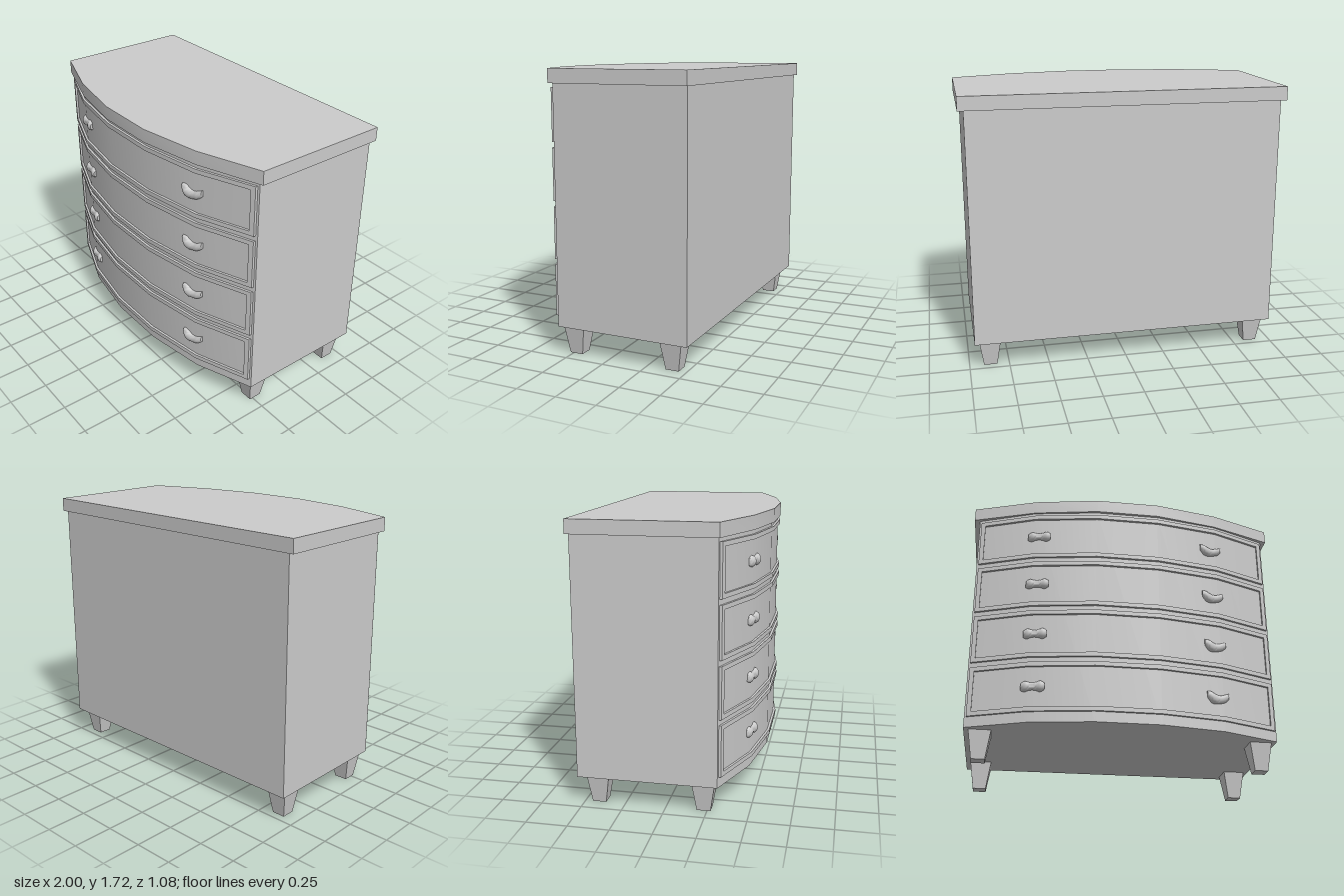
import * as THREE from 'three';
import { toCreasedNormals } from 'three/addons/utils/BufferGeometryUtils.js';

const material = new THREE.MeshStandardMaterial({ color: 0xcccccc });

// Bowed front of the body, as [x, z] from right to left
const bow = [[-0.965, 0.32], [-0.6, 0.46], [-0.2, 0.525], [0.2, 0.525], [0.6, 0.46], [0.965, 0.32]];

function bowZ(x) {
  for (let i = 1; i < bow.length; i++) {
    const [xa, za] = bow[i - 1], [xb, zb] = bow[i];
    if (x <= xb || i === bow.length - 1) return za + (zb - za) * (x - xa) / (xb - xa);
  }
}

// Raises an [x, z] outline from y0 to y1; shallow front bends stay smooth
function slab(outline, y0, y1) {
  const shape = new THREE.Shape(outline.map(([x, z]) => new THREE.Vector2(x, -z)));
  const geometry = new THREE.ExtrudeGeometry(shape, { depth: y1 - y0, bevelEnabled: false });
  geometry.rotateX(-Math.PI / 2).translate(0, y0, 0);
  return toCreasedNormals(geometry, 0.5);
}

// Moulding strip that follows the bowed front between x0 and x1
function strip(x0, x1, y0, y1) {
  const xs = [x0, ...bow.map(p => p[0]).filter(x => x > x0 && x < x1), x1];
  const front = xs.map(x => [x, bowZ(x) + 0.015]);
  const back = xs.map(x => [x, bowZ(x) - 0.01]).reverse();
  return slab([...front, ...back], y0, y1);
}

// Bone-shaped pull lying on the front, optionally sagging in the middle
function handleGeometry(cx, sag, radii) {
  const half = 0.071;
  const curve = new THREE.SplineCurve(radii.map((r, i) =>
    new THREE.Vector2(r, -half + 2 * half * i / (radii.length - 1))));
  const profile = [new THREE.Vector2(0, -half), ...curve.getPoints(16), new THREE.Vector2(0, half)];
  const geometry = new THREE.LatheGeometry(profile, 16).rotateZ(-Math.PI / 2);
  const p = geometry.attributes.position;
  for (let i = 0; i < p.count; i++) {
    const x = p.getX(i), t = x / half;
    p.setXYZ(i, x + cx, p.getY(i) - sag * (1 - t * t), p.getZ(i) * 0.75 + bowZ(x + cx));
  }
  return toCreasedNormals(geometry, 0.9);
}

export function createModel() {
  const model = new THREE.Group();
  model.name = 'chestOfDrawers';
  const add = (parent, name, geometry) => {
    const mesh = new THREE.Mesh(geometry, material);
    mesh.name = name;
    parent.add(mesh);
    return mesh;
  };

  // Carcass and overhanging top
  add(model, 'body', slab([...bow, [0.965, -0.53], [-0.965, -0.53]], 0.175, 1.635));
  add(model, 'top', slab([[-1, 0.33], [-0.6, 0.47], [-0.2, 0.542], [0.2, 0.542], [0.6, 0.47],
    [1, 0.33], [1, -0.542], [-1, -0.542]], 1.635, 1.72));

  // Four drawers, each with a raised frame and two pulls
  const w = 0.953, rim = 0.028, height = 0.317;
  for (let i = 0; i < 4; i++) {
    const drawer = new THREE.Group();
    drawer.name = 'drawer' + (i + 1);
    const y0 = 0.24 + i * 0.351, y1 = y0 + height;
    add(drawer, 'frameBottom', strip(-w, w, y0, y0 + rim));
    add(drawer, 'frameTop', strip(-w, w, y1 - rim, y1));
    add(drawer, 'frameRight', strip(-w, -w + rim, y0 + rim, y1 - rim));
    add(drawer, 'frameLeft', strip(w - rim, w, y0 + rim, y1 - rim));
    const rightPull = add(drawer, 'handleRight',
      handleGeometry(-0.571, 0, [0.022, 0.035, 0.027, 0.024, 0.028, 0.036, 0.022]));
    const leftPull = add(drawer, 'handleLeft',
      handleGeometry(0.564, 0.03, [0.02, 0.036, 0.034, 0.028, 0.026, 0.026, 0.02]));
    rightPull.position.y = y0 + 0.161;
    leftPull.position.y = y0 + 0.167;
    model.add(drawer);
  }

  // Tapered square feet
  const foot = new THREE.CylinderGeometry(0.137 / Math.SQRT2, 0.083 / Math.SQRT2, 0.175, 4)
    .toNonIndexed().rotateY(Math.PI / 4);
  foot.computeVertexNormals();
  for (const x of [-0.868, 0.868])
    for (const z of [0.23, -0.412])
      add(model, (z > 0 ? 'front' : 'back') + (x > 0 ? 'Left' : 'Right') + 'Foot', foot).position.set(x, 0.0875, z);

  return model;
}
